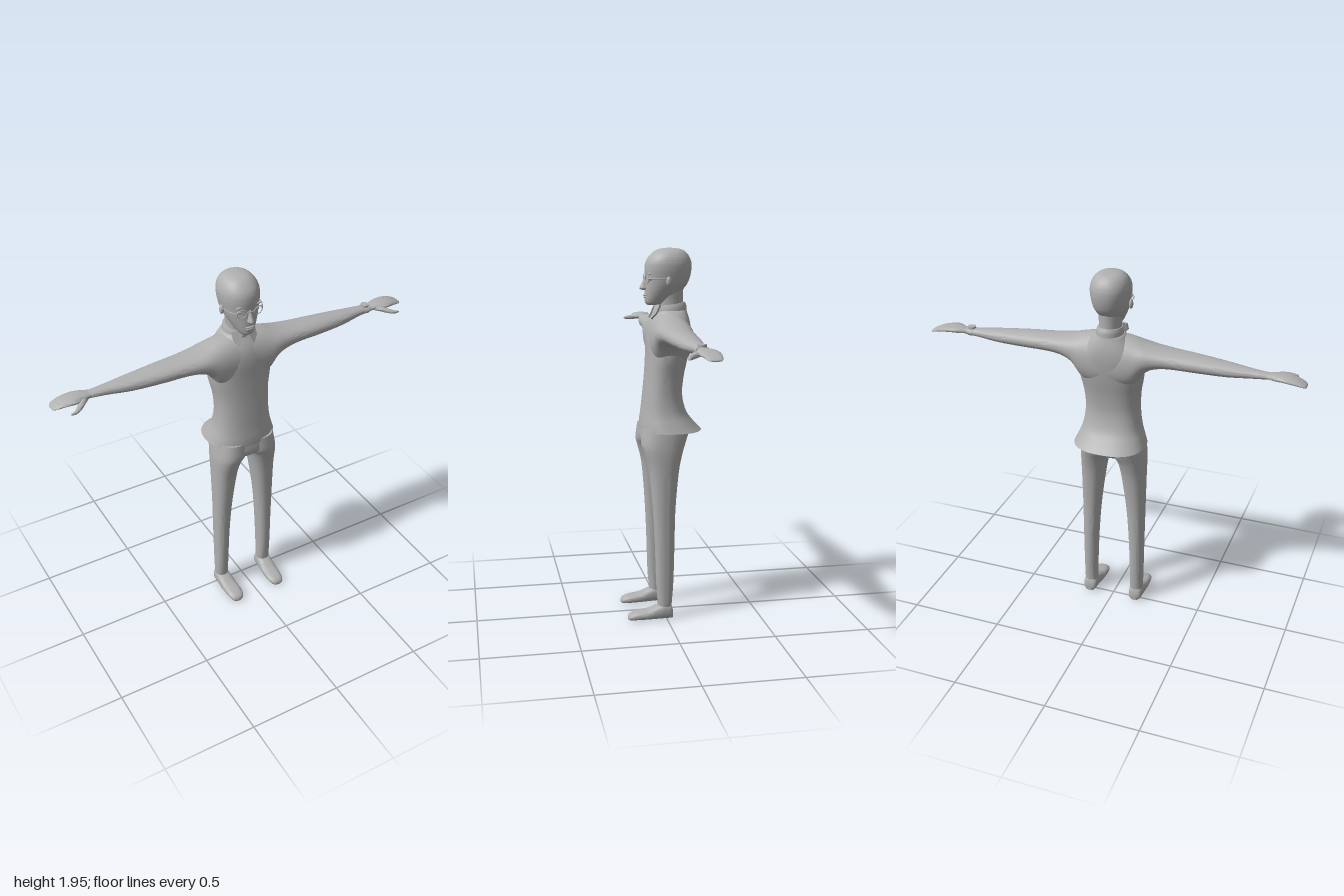
import * as THREE from 'three';
import { toCreasedNormals } from 'three/addons/utils/BufferGeometryUtils.js';

const grey = new THREE.MeshStandardMaterial({ color: 0xb0b0b0 });
grey.name = 'plain grey';

// Smooth loft along an axis. Row: [t, u0, u1, v0, v1], the limits of a rounded section.
// Axis y uses u = x, v = z; axis x uses u = y, v = z; axis z uses u = x, v = y.
function loft(axis, rows, power = 2.2, sides = 32, steps = 5) {
  const at = (i) => rows[Math.max(0, Math.min(rows.length - 1, i))];
  const rings = [];
  for (let i = 0; i < rows.length - 1; i++) {
    for (let k = 0; k < steps; k++) {
      const s = k / steps;
      rings.push(at(i).map((b, c) => {
        const p = at(i - 1)[c], d = at(i + 1)[c], e = at(i + 2)[c];
        return b + 0.5 * s * (d - p + s * (2 * p - 5 * b + 4 * d - e + s * (3 * (b - d) + e - p)));
      }));
    }
  }
  rings.push(at(rows.length - 1));
  const pos = [], index = [];
  const put = (t, u, v) => pos.push(...(axis === 'y' ? [u, t, v] : axis === 'x' ? [t, u, v] : [u, v, t]));
  const round = (c) => Math.sign(c) * Math.abs(c) ** (2 / power);
  for (const [t, u0, u1, v0, v1] of rings) {
    for (let j = 0; j < sides; j++) {
      const a = (j / sides) * Math.PI * 2;
      put(t, (u0 + u1) / 2 + (u1 - u0) / 2 * round(Math.cos(a)),
        (v0 + v1) / 2 + (v1 - v0) / 2 * round(Math.sin(a)));
    }
  }
  const tri = (a, b, c) => (axis === 'y' ? index.push(a, c, b) : index.push(a, b, c));
  const last = (rings.length - 1) * sides, ends = rings.length * sides;
  for (const r of [rings[0], rings[rings.length - 1]]) put(r[0], (r[1] + r[2]) / 2, (r[3] + r[4]) / 2);
  for (let j = 0; j < sides; j++) {
    const n = (j + 1) % sides;
    for (let i = 0; i < last; i += sides) {
      tri(i + j, i + n, i + sides + j);
      tri(i + n, i + sides + n, i + sides + j);
    }
    tri(ends, n, j);
    tri(ends + 1, last + j, last + n);
  }
  const g = new THREE.BufferGeometry();
  g.setAttribute('position', new THREE.Float32BufferAttribute(pos, 3));
  g.setIndex(index);
  return toCreasedNormals(g, 1.0);
}

// Copy of a geometry on the other side of x = 0
function mirrored(geometry) {
  const g = geometry.index ? geometry.toNonIndexed() : geometry.clone();
  g.scale(-1, 1, 1);
  g.setIndex([...Array(g.attributes.position.count).keys()].map((i) => i + [0, 1, -1][i % 3]));
  return g;
}

function ball(x, y, z, rx, ry, rz) {
  return new THREE.SphereGeometry(1, 20, 14).scale(rx, ry, rz).translate(x, y, z);
}

export function createModel() {
  const model = new THREE.Group();
  const add = (name, geometry) => {
    const mesh = new THREE.Mesh(geometry, grey);
    mesh.name = name;
    model.add(mesh);
  };
  const pair = (name, geometry) => {
    add('left' + name, geometry);
    add('right' + name, mirrored(geometry));
  };

  // Jumper body with a flared hem
  add('torso', loft('y', [
    [1.012, -0.19, 0.19, -0.205, 0.118],
    [1.05, -0.175, 0.175, -0.168, 0.116],
    [1.11, -0.155, 0.155, -0.125, 0.108],
    [1.2, -0.145, 0.145, -0.104, 0.098],
    [1.3, -0.15, 0.15, -0.112, 0.088],
    [1.4, -0.168, 0.168, -0.132, 0.081],
    [1.5, -0.17, 0.17, -0.147, 0.076],
    [1.57, -0.13, 0.13, -0.146, 0.058],
    [1.635, -0.07, 0.07, -0.13, 0.015],
  ], 2.4, 48));

  // Sleeves, from the middle of the chest to the wrist
  pair('Sleeve', loft('x', [
    [0, 1.34, 1.632, -0.143, 0.073],
    [0.08, 1.345, 1.625, -0.142, 0.073],
    [0.14, 1.375, 1.612, -0.138, 0.073],
    [0.19, 1.445, 1.597, -0.13, 0.068],
    [0.25, 1.476, 1.585, -0.118, 0.06],
    [0.33, 1.486, 1.576, -0.108, 0.05],
    [0.45, 1.486, 1.568, -0.1, 0.04],
    [0.6, 1.488, 1.556, -0.088, 0.02],
    [0.72, 1.499, 1.545, -0.074, -0.004],
    [0.8, 1.507, 1.538, -0.068, -0.012],
    [0.83, 1.51, 1.536, -0.068, -0.012],
  ], 2.2));

  // Mitten hands with a separate thumb
  pair('Hand', loft('x', [
    [0.79, 1.512, 1.534, -0.064, -0.016],
    [0.84, 1.51, 1.541, -0.082, -0.004],
    [0.89, 1.511, 1.542, -0.092, 0.01],
    [0.94, 1.508, 1.534, -0.093, 0.0],
    [0.98, 1.503, 1.519, -0.088, -0.012],
    [0.996, 1.501, 1.51, -0.078, -0.025],
    [1, 1.504, 1.506, -0.06, -0.04],
  ], 2.3, 24));
  pair('Thumb', loft('x', [
    [0.815, 1.512, 1.532, -0.045, -0.015],
    [0.85, 1.505, 1.533, -0.03, 0.018],
    [0.88, 1.5, 1.525, 0.0, 0.044],
    [0.91, 1.498, 1.516, 0.034, 0.056],
    [0.937, 1.501, 1.508, 0.047, 0.054],
  ], 2, 16));

  // Watch on the left wrist
  add('watchBand', new THREE.CylinderGeometry(1, 1, 0.026, 24).rotateZ(Math.PI / 2)
    .scale(1, 0.021, 0.034).translate(0.775, 1.522, -0.04));
  add('watchFace', new THREE.CylinderGeometry(0.021, 0.021, 0.012, 20).translate(0.775, 1.545, -0.04));

  // Trousers: a pelvis and two tapering legs
  add('pelvis', loft('y', [
    [0.915, -0.035, 0.035, -0.055, 0.06],
    [0.94, -0.11, 0.11, -0.09, 0.105],
    [0.97, -0.15, 0.15, -0.108, 0.118],
    [1.03, -0.155, 0.155, -0.13, 0.112],
  ], 2.5, 40));
  pair('Leg', loft('y', [
    [0.05, 0.1, 0.168, -0.027, 0.042],
    [0.09, 0.1, 0.171, -0.03, 0.046],
    [0.2, 0.099, 0.172, -0.038, 0.054],
    [0.4, 0.091, 0.174, -0.044, 0.06],
    [0.6, 0.076, 0.176, -0.05, 0.07],
    [0.8, 0.05, 0.178, -0.07, 0.088],
    [0.9, 0.03, 0.178, -0.092, 0.112],
    [0.95, 0.0, 0.175, -0.11, 0.124],
    [1.03, -0.02, 0.166, -0.138, 0.116],
  ], 2.3));
  pair('Shoe', loft('z', [
    [-0.034, 0.112, 0.158, 0, 0.05],
    [-0.024, 0.1, 0.17, 0, 0.075],
    [0.01, 0.096, 0.175, 0, 0.085],
    [0.05, 0.092, 0.176, 0, 0.072],
    [0.1, 0.088, 0.176, 0, 0.052],
    [0.16, 0.088, 0.172, 0, 0.042],
    [0.195, 0.1, 0.162, 0, 0.03],
    [0.206, 0.118, 0.144, 0.004, 0.014],
  ], 2.8, 24));

  // Neck and shirt collar
  add('neck', loft('y', [
    [1.6, -0.058, 0.058, -0.115, 0.018],
    [1.68, -0.056, 0.056, -0.112, 0.02],
    [1.76, -0.062, 0.062, -0.115, 0.03],
  ], 2));
  add('collar', loft('y', [
    [1.625, -0.07, 0.07, -0.132, 0.026],
    [1.65, -0.067, 0.067, -0.13, 0.025],
    [1.668, -0.061, 0.061, -0.122, 0.023],
  ], 2).applyMatrix4(new THREE.Matrix4().set(1, 0, 0, 0, 0, 1, -0.12, -0.006, 0, 0, 1, 0, 0, 0, 0, 1)));
  const flap = new THREE.Shape([[0.01, 0], [0.028, -0.08], [0.062, -0.045], [0.066, 0]]
    .map(([x, y]) => new THREE.Vector2(x, y)));
  pair('CollarFlap', new THREE.ExtrudeGeometry(flap, { depth: 0.009, bevelEnabled: false })
    .rotateX(-0.42).rotateY(0.25).translate(0, 1.664, 0.03));

  // Head with a tapering jaw
  add('head', loft('y', [
    [1.662, -0.025, 0.025, 0.0, 0.072],
    [1.675, -0.04, 0.04, -0.03, 0.086],
    [1.715, -0.063, 0.063, -0.085, 0.088],
    [1.76, -0.083, 0.083, -0.128, 0.086],
    [1.8, -0.093, 0.093, -0.147, 0.085],
    [1.85, -0.1, 0.1, -0.156, 0.087],
    [1.89, -0.097, 0.097, -0.152, 0.078],
    [1.925, -0.08, 0.08, -0.132, 0.05],
    [1.946, -0.05, 0.05, -0.1, 0.015],
    [1.953, -0.005, 0.005, -0.045, -0.035],
  ], 2.15, 40));
  pair('Ear', ball(0.098, 1.787, -0.02, 0.011, 0.025, 0.014));
  add('nose', loft('y', [
    [1.738, -0.01, 0.01, 0.06, 0.092],
    [1.747, -0.017, 0.017, 0.06, 0.115],
    [1.77, -0.011, 0.011, 0.06, 0.106],
    [1.805, -0.008, 0.008, 0.06, 0.09],
  ], 2, 16));
  add('upperLip', ball(0, 1.713, 0.085, 0.026, 0.006, 0.01));
  add('lowerLip', ball(0, 1.703, 0.085, 0.021, 0.006, 0.009));
  pair('Eye', ball(0.045, 1.797, 0.066, 0.017, 0.009, 0.01));
  pair('Brow', ball(0.045, 1.825, 0.071, 0.026, 0.005, 0.008));

  // Spectacles
  pair('Rim', new THREE.TorusGeometry(0.023, 0.0025, 8, 28).scale(1.1, 0.9, 1)
    .rotateY(0.2).translate(0.046, 1.795, 0.085));
  add('bridge', new THREE.CylinderGeometry(0.0025, 0.0025, 0.042, 8).rotateZ(Math.PI / 2).translate(0, 1.8, 0.093));
  pair('Temple', new THREE.TubeGeometry(new THREE.CatmullRomCurve3([
    new THREE.Vector3(0.071, 1.8, 0.08), new THREE.Vector3(0.092, 1.8, 0.04), new THREE.Vector3(0.101, 1.8, -0.02),
  ]), 12, 0.0025, 8));

  return model;
}
